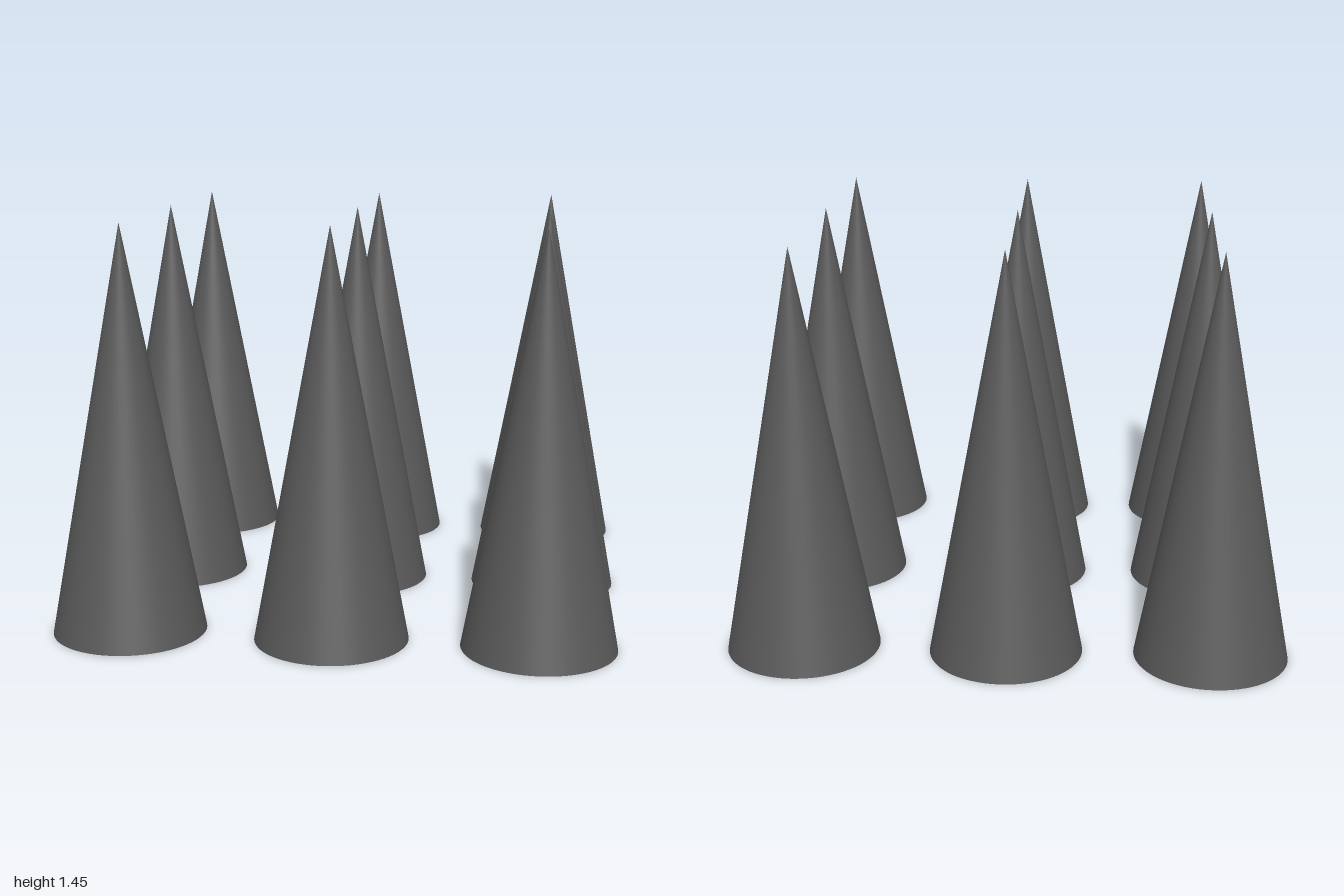
import * as THREE from 'three';

const RADIUS = 3 / 11;
const HEIGHT = 16 / 11;
const SPACING = 8 / 11;

export function createModel() {
  const model = new THREE.Group();
  model.name = 'spikeField';

  const darkGrey = new THREE.MeshStandardMaterial({ color: 0x5a5a5a });
  darkGrey.name = 'darkGrey';

  // One closed cone, standing on y = 0, shared by every spike
  const cone = new THREE.ConeGeometry(RADIUS, HEIGHT, 64);
  cone.translate(0, HEIGHT / 2, 0);

  // Three by three grid of spikes
  const rows = ['back', 'middle', 'front'];
  const columns = ['Right', 'Centre', 'Left'];
  rows.forEach((row, r) => {
    columns.forEach((column, c) => {
      const spike = new THREE.Mesh(cone, darkGrey);
      spike.name = `${row}${column}Spike`;
      spike.position.set((c - 1) * SPACING, 0, (r - 1) * SPACING);
      model.add(spike);
    });
  });

  return model;
}
